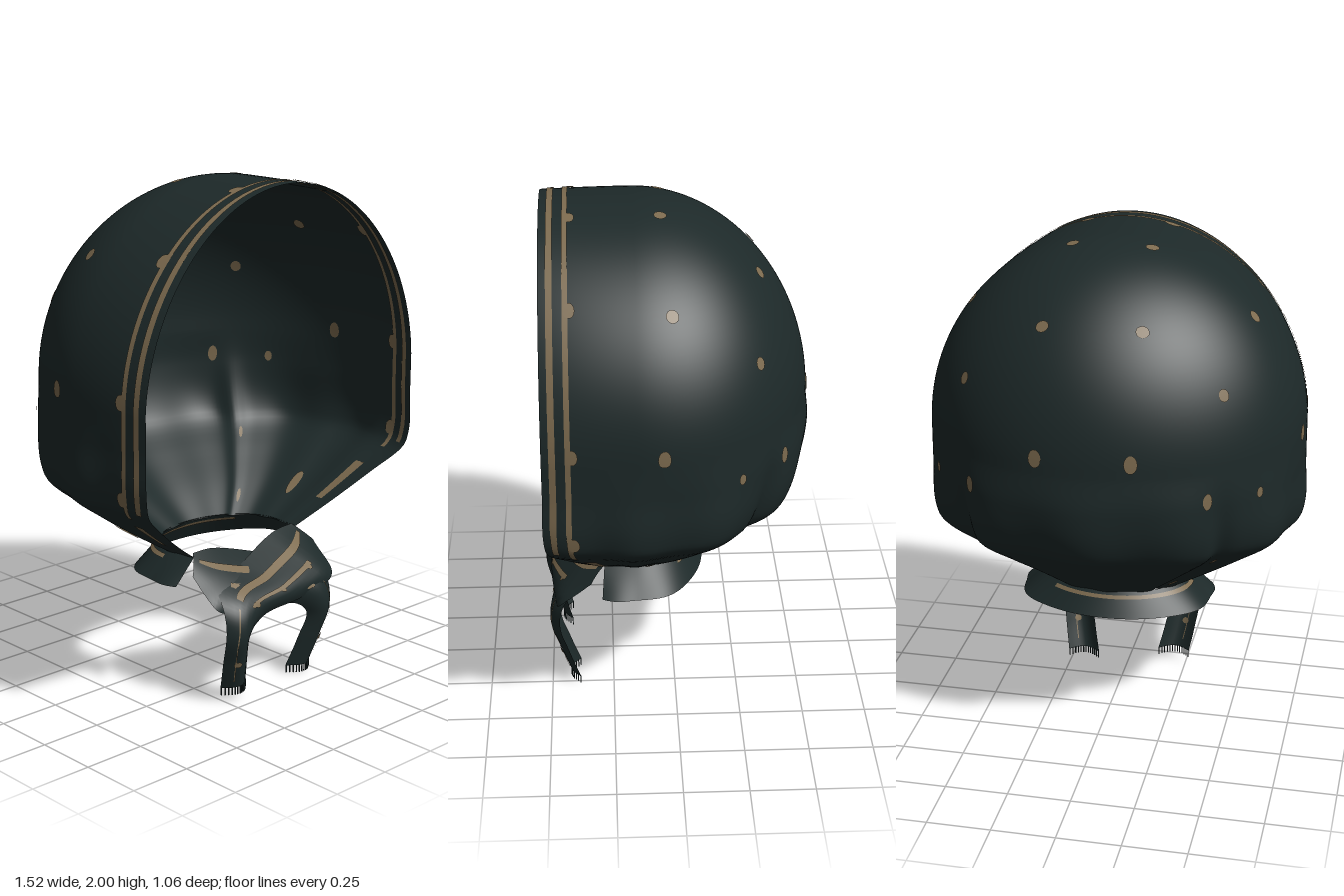
import * as THREE from 'three';
import { mergeVertices } from 'three/addons/utils/BufferGeometryUtils.js';

const HALF_PI = Math.PI / 2;
const BACK = 0.7;           // |u| below this is the rounded back, above it the straight cheek
const CENTRE_Z = 0.15;

// lower hood by height: half width, back z, front edge z
const lowerProfile = new THREE.CubicInterpolant(
  [0.56, 0.66, 0.77, 0.86, 0.92, 1.1, 1.25],
  [0.29, -0.06, 0.28, 0.45, -0.18, 0.35, 0.61, -0.33, 0.425, 0.725, -0.45, 0.488,
    0.747, -0.49, 0.5, 0.75, -0.53, 0.5, 0.75, -0.52, 0.5], 3, new Float32Array(3));
// how far forward the tied ends hang at each height
const drape = new THREE.CubicInterpolant(
  [0, 0.17, 0.31, 0.41, 0.48, 0.56, 0.6], [0.385, 0.44, 0.475, 0.445, 0.365, 0.28, 0.25], 1, new Float32Array(1));

const heightToV = (y) => (y < 1.25 ? (y - 0.56) / 1.38 : 0.5 + Math.asin((y - 1.25) / 0.75) / Math.PI);

// point of a U-shaped plan, u from right front edge round the back to left front edge
function planPoint(u, w, back, front, y, taper) {
  const a = Math.abs(u);
  if (a <= BACK) {
    const phi = (u / BACK) * HALF_PI;
    return new THREE.Vector3(w * Math.sin(phi), y, CENTRE_Z - (CENTRE_Z - back) * Math.cos(phi));
  }
  const s = (a - BACK) / (1 - BACK);
  return new THREE.Vector3(Math.sign(u) * w * (1 - taper * s * s), y, CENTRE_Z + (front - CENTRE_Z) * s);
}

// hood surface, v from the gathered neck to the crown ridge
function hoodPoint(u, v) {
  if (v >= 0.5) {
    const a = (v - 0.5) * Math.PI;
    const c = Math.cos(a);
    const taper = 0.05 + 0.055 * Math.sin(a);
    return fold(planPoint(u, 0.75 * c, CENTRE_Z - 0.67 * c, 0.5, 1.25 + 0.75 * Math.sin(a), taper), u);
  }
  const y = 0.56 + 1.38 * v;
  const [w, back, front] = lowerProfile.evaluate(y);
  return fold(planPoint(u, w, back, front, y, 0.05), u);
}

// soft gathers and one pinched crease each side, deepening toward the neck
function fold(p, u) {
  const fade = Math.max(0, 1 - u ** 4);
  const depth = THREE.MathUtils.smoothstep(1.25 - p.y, 0, 0.4);
  const crease = Math.exp(-(((Math.abs(u) - 0.335) / 0.03) ** 2));
  const k = 1 + fade * (depth * (0.018 * Math.cos(u * 26) - 0.04 * crease) + 0.014 * Math.sin(u * 6 - 0.3));
  p.x *= k;
  p.z = CENTRE_Z + (p.z - CENTRE_Z) * k;
  return p;
}

// collar frill flaring out below the neck
function frillPoint(u, v) {
  const flare = 0.008 * v * Math.cos(u * 14);
  return planPoint(u, 0.29 + 0.11 * v + flare, -0.06 - 0.06 * v, 0.28 + 0.01 * v, 0.565 - 0.095 * v, 0.05);
}

// tied end between two edge lines; side mirrors it, offset layers it
function tieSurface(side, drop, offset) {
  const edge = (pts) => new THREE.CatmullRomCurve3(pts.map(([x, y]) => new THREE.Vector3(x, y, 0)));
  const outer = edge([[0.27, 0.575], [0.16, 0.57], [-0.08, 0.51], [-0.27, 0.46], [-0.3, 0.3], [-0.285, 0.17], [-0.265, 0.06]]);
  const inner = edge([[0.33, 0.51], [0.31, 0.4], [0.12, 0.355], [-0.1, 0.335], [-0.17, 0.28], [-0.155, 0.17], [-0.13, 0.06]]);
  return (u, v) => {
    const p = outer.getPoint(v).lerp(inner.getPoint(v), u);
    p.y -= drop * v * v;
    const swell = Math.min(1, 0.2 + 4 * v);
    p.z = drape.evaluate(p.y)[0] + swell * (offset + 0.04 * Math.sin(Math.PI * u));
    p.x *= side;
    return p;
  };
}

// surface point pushed along its normal
function lifted(surface, u, v, off) {
  const e = 0.002;
  const p = surface(u, v);
  if (!off) return p;
  const du = surface(u + e, v).sub(surface(u - e, v));
  const dv = surface(u, Math.min(v + e, 1.01)).sub(surface(u, v - e));
  return p.addScaledVector(dv.cross(du).normalize(), off);
}

function patchGeometry(surface, [u0, u1], [v0, v1], nu, nv, off = 0) {
  const g = new THREE.PlaneGeometry(1, 1, nu, nv);
  const pos = g.attributes.position;
  for (let i = 0; i < pos.count; i++) {
    const u = u0 + (u1 - u0) * (pos.getX(i) + 0.5);
    const v = v0 + (v1 - v0) * (pos.getY(i) + 0.5);
    const p = lifted(surface, u, v, off);
    pos.setXYZ(i, p.x, p.y, p.z);
  }
  g.deleteAttribute('uv');
  g.deleteAttribute('normal');
  const merged = mergeVertices(g, 1e-5);
  merged.computeVertexNormals();
  return merged;
}

// round spot of real size rx, ry laid on a surface
function spotGeometry(surface, u, v, rx, ry, off) {
  const e = 0.004;
  const du = rx / (surface(u + e, v).distanceTo(surface(u - e, v)) / (2 * e));
  const dv = ry / (surface(u, v + e).distanceTo(surface(u, v - e)) / (2 * e));
  const g = new THREE.CircleGeometry(1, 14);
  const pos = g.attributes.position;
  for (let i = 0; i < pos.count; i++) {
    const p = lifted(surface, u + pos.getX(i) * du, v + pos.getY(i) * dv, off);
    pos.setXYZ(i, p.x, p.y, p.z);
  }
  g.computeVertexNormals();
  return g;
}

export function createModel() {
  const model = new THREE.Group();
  const cloth = new THREE.MeshStandardMaterial({ color: 0x1d2929, side: THREE.DoubleSide });
  cloth.name = 'dark teal cloth';
  const print = new THREE.MeshStandardMaterial({ color: 0x7d6b4f, side: THREE.DoubleSide });
  print.name = 'tan print';

  const add = (name, geometry, material) => {
    const mesh = new THREE.Mesh(geometry, material);
    mesh.name = name;
    model.add(mesh);
    return mesh;
  };
  // printed details show on both faces of the cloth
  const stripe = (name, surface, ur, vr, nu, nv) => {
    for (const off of [0.004, -0.004]) add(name, patchGeometry(surface, ur, vr, nu, nv, off), print);
  };
  const spot = (name, surface, u, v, rx, ry) => {
    for (const off of [0.005, -0.005]) add(name, spotGeometry(surface, u, v, rx, ry, off), print);
  };

  add('hood', patchGeometry(hoodPoint, [-1, 1], [0, 1], 200, 72), cloth);
  add('neckFrill', patchGeometry(frillPoint, [-1, 1], [0, 1], 80, 4), cloth);
  stripe('frillStripe', frillPoint, [-0.7, 0.35], [0.16, 0.3], 60, 1);

  // spots on the hood: x, y, z, half width, half height
  const spots = [
    [0.19, 1.976, 0.03, 0.026, 0.024], [0.56, 1.74, 0.02, 0.024, 0.026], [0.19, 1.76, -0.32, 0.026, 0.024],
    [0.5, 1.53, -0.3, 0.022, 0.025], [0.72, 1.27, 0.06, 0.024, 0.036], [0.18, 1.31, -0.5, 0.026, 0.036],
    [0.46, 1.14, -0.4, 0.02, 0.034], [0.63, 1.13, -0.23, 0.016, 0.022], [0.42, 0.67, 0.11, 0.02, 0.065],
    [0.44, 0.82, -0.21, 0.008, 0.03], [0.275, 0.62, -0.045, 0.009, 0.035],
  ];
  const zToU = (z) => BACK + (1 - BACK) * (z - CENTRE_Z) / (0.5 - CENTRE_Z);
  for (const side of [1, -1]) {
    for (const [x, y, z, rx, ry] of spots) {
      const v = heightToV(y);
      const row = hoodPoint(BACK, v).x;
      const back = hoodPoint(0, v).z;
      const u = BACK * Math.atan2(x / row, (CENTRE_Z - z) / (CENTRE_Z - back)) / HALF_PI;
      spot('hoodSpot', hoodPoint, side * u, v, rx, ry);
    }
    // border stripes along the face opening, with half spots on the inner one
    const range = (z0, z1) => [side * zToU(z0), side * zToU(z1)];
    stripe('outerBorderStripe', hoodPoint, range(0.448, 0.472), [heightToV(0.87), 1], 2, 60);
    stripe('innerBorderStripe', hoodPoint, range(0.394, 0.414), [heightToV(0.84), 1], 2, 60);
    stripe('cheekStripe', hoodPoint, range(0.355, 0.41), [heightToV(0.65), heightToV(0.78)], 2, 10);
    for (const y of [1.978, 1.76, 1.28, 0.92]) spot('borderSpot', hoodPoint, side * zToU(0.39), heightToV(y), 0.022, 0.03);
  }

  // two crossed ends tied at the throat, each hanging as a fringed tail
  for (const [name, side, drop, offset] of [['rightTie', 1, 0, 0.012], ['leftTie', -1, 0.03, -0.012]]) {
    const surface = tieSurface(side, drop, offset);
    add(name, patchGeometry(surface, [0, 1], [0, 1], 10, 60), cloth);
    stripe(name + 'UpperStripe', surface, [0.24, 0.34], [0.04, 0.5], 2, 40);
    stripe(name + 'LowerStripe', surface, [0.5, 0.57], [0.2, 0.5], 2, 30);
    stripe(name + 'TailStripe', surface, [0.27, 0.3], [0.54, 0.95], 1, 24);
    for (const [u, v] of [[0.56, 0.22], [0.56, 0.36], [0.56, 0.48], [0.35, 0.83]]) spot(name + 'Spot', surface, u, v, 0.016, 0.014);
    for (let i = 0; i <= 12; i++) {
      const strand = add(name + 'Fringe', new THREE.BoxGeometry(0.004, 0.032, 0.004), cloth);
      strand.position.copy(surface(0.02 + 0.96 * i / 12, 1));
      strand.position.y -= 0.014;
    }
  }
  return model;
}
